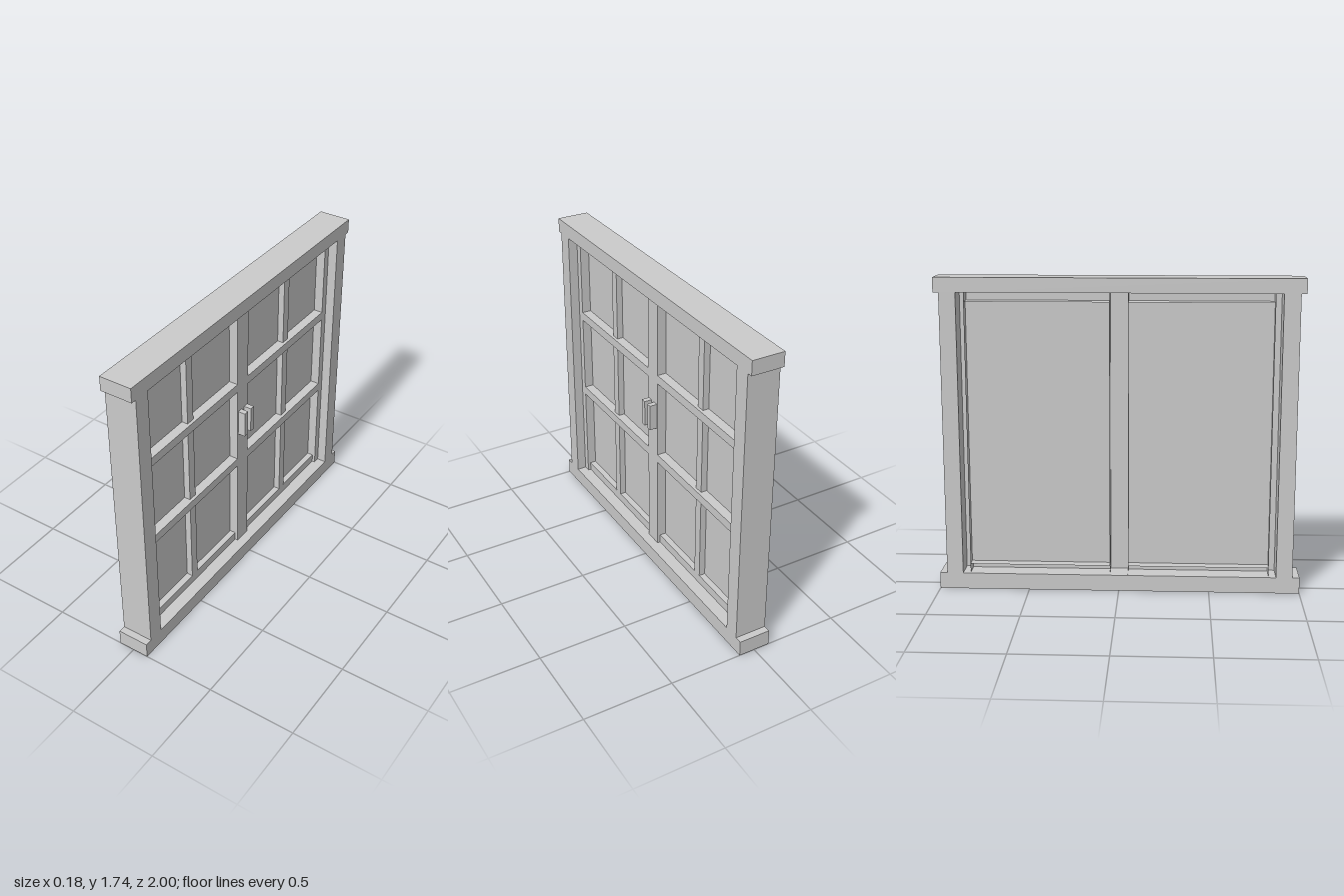
import * as THREE from 'three';

const solid = new THREE.MeshStandardMaterial({ color: 0xcccccc, flatShading: true });
const thin = new THREE.MeshStandardMaterial({ color: 0xcccccc, flatShading: true, side: THREE.DoubleSide });

// Box given by its limits on each axis
function box(parent, name, [x0, x1], [y0, y1], [z0, z1]) {
  const mesh = new THREE.Mesh(new THREE.BoxGeometry(x1 - x0, y1 - y0, Math.abs(z1 - z0)), solid);
  mesh.position.set((x0 + x1) / 2, (y0 + y1) / 2, (z0 + z1) / 2);
  mesh.name = name;
  parent.add(mesh);
}

// Thin sheet: the axis whose two limits are equal is its normal
function sheet(parent, name, [x0, x1], [y0, y1], [z0, z1]) {
  const dx = x1 - x0, dy = y1 - y0, dz = Math.abs(z1 - z0);
  let geo;
  if (dx === 0) geo = new THREE.PlaneGeometry(dz, dy).rotateY(Math.PI / 2);
  else if (dy === 0) geo = new THREE.PlaneGeometry(dx, dz).rotateX(-Math.PI / 2);
  else geo = new THREE.PlaneGeometry(dx, dy);
  const mesh = new THREE.Mesh(geo, thin);
  mesh.position.set((x0 + x1) / 2, (y0 + y1) / 2, (z0 + z1) / 2);
  mesh.name = name;
  parent.add(mesh);
}

export function createModel() {
  const model = new THREE.Group();
  model.name = 'window';

  const depth = [-0.09, 0.09];
  const bottom = 0.09, top = 1.655;       // frame opening
  const paneBottom = 0.14, paneTop = 1.605;
  const back = -0.075, glass = -0.015, railFront = 0.02, stileFront = 0.037;

  // Outer frame
  box(model, 'sill', depth, [0, bottom], [-1, 1]);
  box(model, 'lintel', depth, [top, 1.735], [-0.99, 0.99]);

  // Centre stile shared by both leaves, open at the back
  sheet(model, 'centreStile', [stileFront, stileFront], [bottom, top], [-0.05, 0.05]);

  for (const s of [1, -1]) {
    box(model, 'post', depth, [bottom, top], [s * 0.87, s * 0.96]);

    const leaf = new THREE.Group();
    leaf.name = s > 0 ? 'leftLeaf' : 'rightLeaf';
    model.add(leaf);
    const span = [s * 0.05, s * 0.83];

    // Leaf surround: front faces with walls running back, hollow behind
    sheet(leaf, 'outerStile', [stileFront, stileFront], [bottom, top], [s * 0.83, s * 0.87]);
    for (const z of span) sheet(leaf, 'stileWall', [back, stileFront], [bottom, top], [z, z]);
    sheet(leaf, 'topRail', [railFront, railFront], [paneTop, top], span);
    sheet(leaf, 'bottomRail', [railFront, railFront], [bottom, paneBottom], span);
    for (const y of [paneBottom, paneTop]) sheet(leaf, 'railWall', [back, railFront], [y, y], span);

    // Pane and glazing bars
    sheet(leaf, 'pane', [glass, glass], [paneBottom, paneTop], span);
    box(leaf, 'verticalBar', [glass, railFront], [paneBottom, paneTop], [s * 0.43, s * 0.48]);
    for (const y of [0.645, 1.145])
      box(leaf, 'crossBar', [glass, stileFront], [y, y + 0.05], span);

    // Handle
    box(leaf, 'handle', [stileFront, 0.08], [0.865, 1.015], [s * 0.014, s * 0.044]);
  }
  return model;
}
